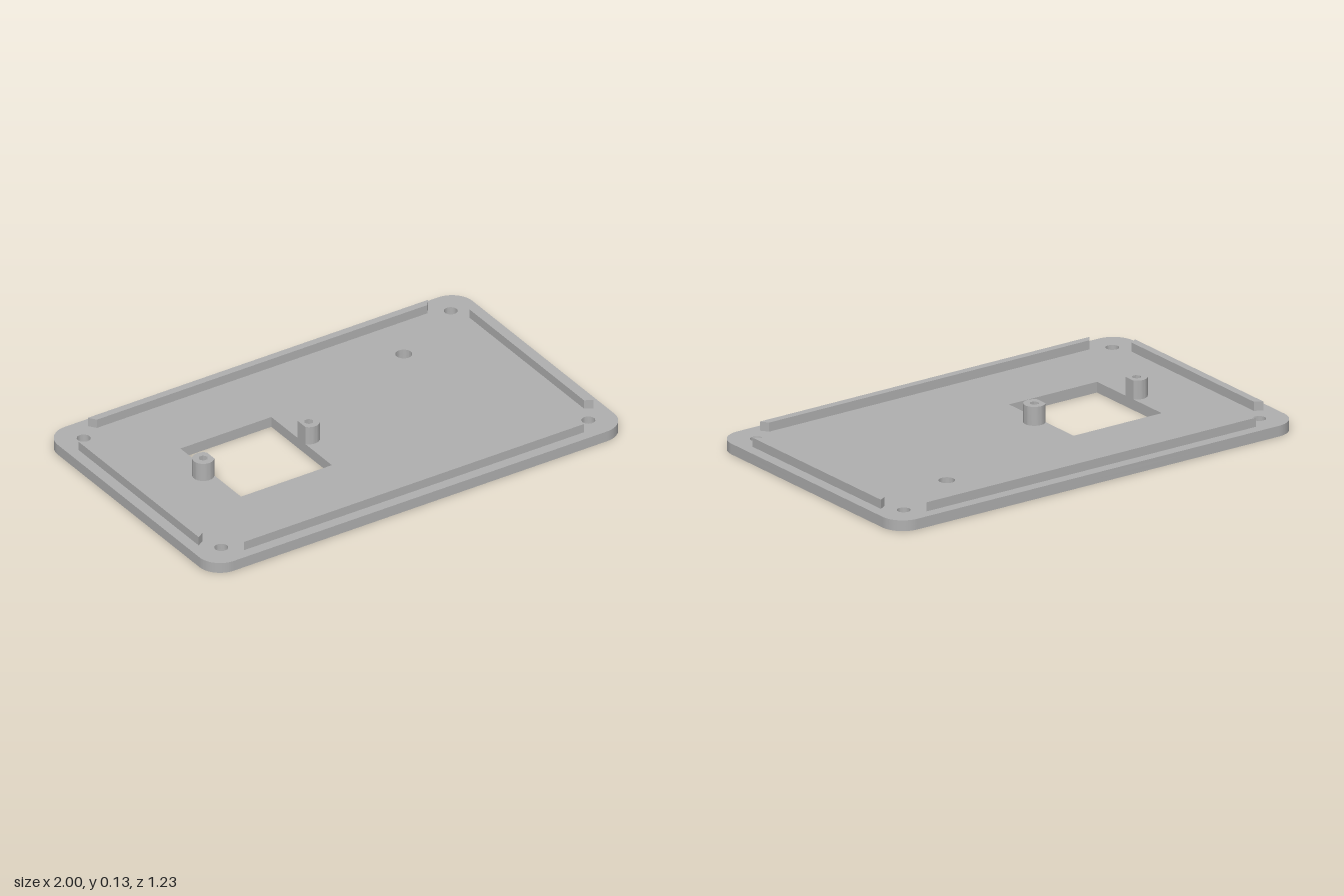
import * as THREE from 'three';
import { toCreasedNormals } from 'three/addons/utils/BufferGeometryUtils.js';

const PLATE_TOP = 0.046, BORE = 0.022, RIB_TOP = 0.085, POST_TOP = 0.127;
const HALF_X = 1, HALF_Z = 0.616, CORNER = 0.1;
const WIN = { x0: -0.604, x1: -0.166, z: 0.221 };

export function createModel() {
  const group = new THREE.Group();
  const grey = new THREE.MeshStandardMaterial({ color: 0xb0b0b0 });
  grey.name = 'grey plastic';

  // Extrude a plan outline (x, -z) upwards between two heights
  function addPart(name, shape, y0, y1) {
    let geo = new THREE.ExtrudeGeometry(shape, { depth: y1 - y0, bevelEnabled: false, curveSegments: 16 });
    geo.rotateX(-Math.PI / 2);
    geo.translate(0, y0, 0);
    geo = toCreasedNormals(geo, 0.6);
    const mesh = new THREE.Mesh(geo, grey);
    mesh.name = name;
    group.add(mesh);
  }

  const polygon = (pts) => new THREE.Shape(pts.map(([x, y]) => new THREE.Vector2(x, y)));
  const circle = (x, y, r) => new THREE.Path().absarc(x, y, r, 0, Math.PI * 2, true);

  // Rounded plate outline with window, cable hole and four screw holes
  function plateShape(screwRadius) {
    const s = new THREE.Shape();
    const a = HALF_X - CORNER, b = HALF_Z - CORNER, q = Math.PI / 2;
    s.absarc(a, b, CORNER, 0, q);
    s.absarc(-a, b, CORNER, q, 2 * q);
    s.absarc(-a, -b, CORNER, 2 * q, 3 * q);
    s.absarc(a, -b, CORNER, 3 * q, 4 * q);
    s.closePath();
    s.holes.push(polygon([[WIN.x0, -WIN.z], [WIN.x0, WIN.z], [WIN.x1, WIN.z], [WIN.x1, -WIN.z]]));
    s.holes.push(circle(0.545, 0.33, 0.034));
    for (const x of [-0.885, 0.885]) for (const y of [-0.502, 0.502]) s.holes.push(circle(x, y, screwRadius));
    return s;
  }

  // Plate: wider screw-head recesses below, screw holes above
  addPart('plateBottom', plateShape(0.046), 0, BORE);
  addPart('plateTop', plateShape(0.028), BORE, PLATE_TOP);

  // Locating ribs with mitred ends
  for (const s of [-1, 1]) {
    addPart('longRib', polygon([[-0.82, s * 0.57], [0.82, s * 0.57], [0.797, s * 0.538], [-0.797, s * 0.538]]), PLATE_TOP, RIB_TOP);
    addPart('shortRib', polygon([[s * 0.952, -0.439], [s * 0.952, 0.439], [s * 0.919, 0.418], [s * 0.919, -0.418]]), PLATE_TOP, RIB_TOP);
  }

  // Screw posts, trimmed flush with the window edge
  function addPost(cx, edge, side) {
    const r = 0.045;
    const t = Math.acos(Math.abs(edge - cx) / r);
    const start = side > 0 ? t : Math.PI + t;
    const post = new THREE.Shape();
    post.absarc(cx, 0, r, start, start + 2 * (Math.PI - t));
    post.closePath();
    const hex = [];
    for (let i = 0; i < 6; i++) hex.push([cx + 0.02 * Math.cos(-i * Math.PI / 3), 0.02 * Math.sin(-i * Math.PI / 3)]);
    post.holes.push(polygon(hex));
    addPart('screwPost', post, PLATE_TOP, POST_TOP);
  }
  addPost(-0.64, WIN.x0, 1);
  addPost(-0.131, WIN.x1, -1);

  return group;
}
